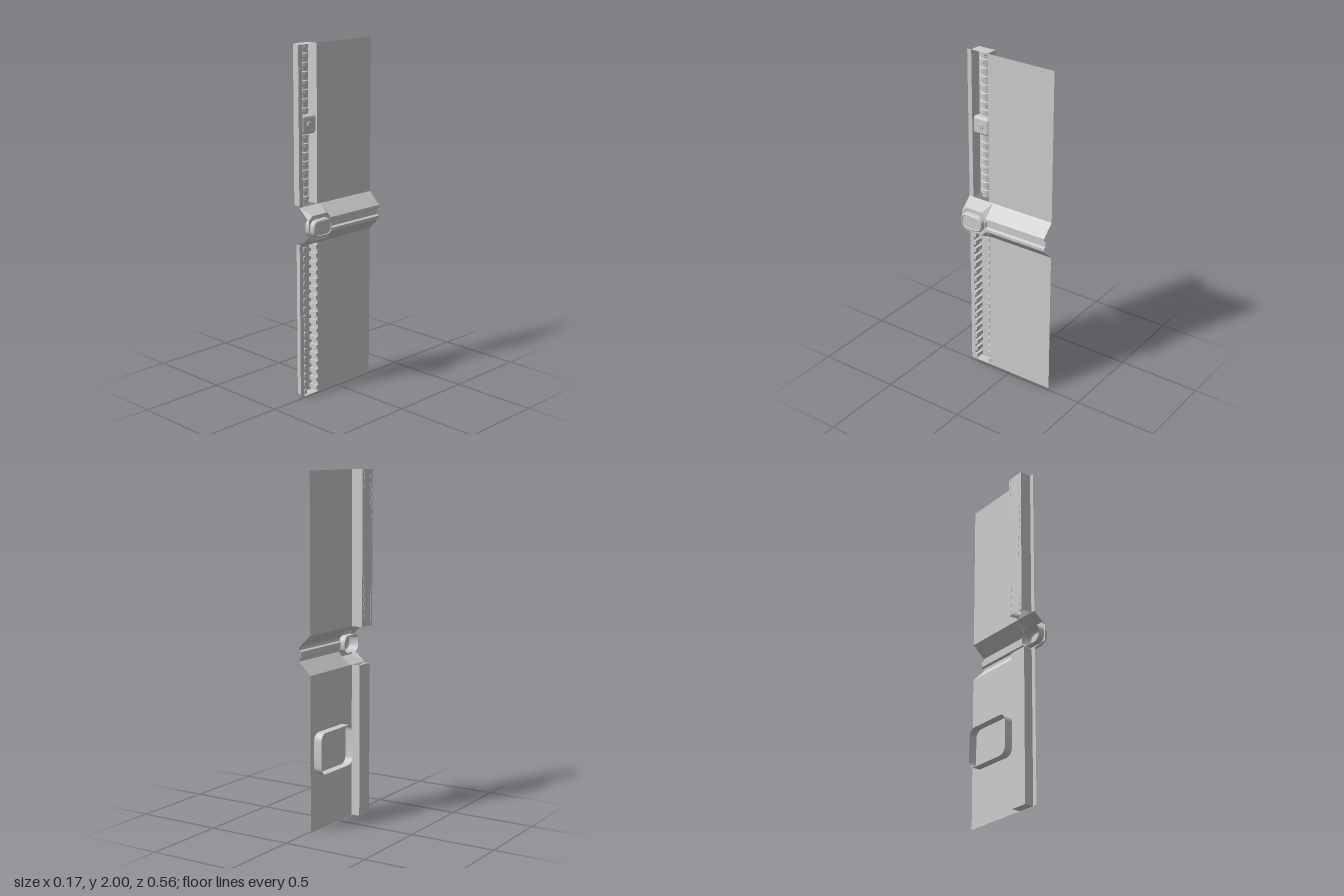
import * as THREE from 'three';
import { toCreasedNormals } from 'three/addons/utils/BufferGeometryUtils.js';
import { RoundedBoxGeometry } from 'three/addons/geometries/RoundedBoxGeometry.js';

const material = new THREE.MeshStandardMaterial({ color: 0xcccccc, side: THREE.DoubleSide });
const FACE = -0.016;            // x of the wall face
const ZC = 0.2;                 // z of the channel centre line
const Z0 = -0.282, Z1 = 0.282;  // ends of the wall
const STEP = 0.117;             // z where the ledge turns into the knob mount
const LOW = 0.89, HIGH = 1.112, MID = 1.002;
const FRONT = 0.057;            // x of the ledge front

function add(parent, name, geometry, x = 0, y = 0, z = 0) {
  const mesh = new THREE.Mesh(geometry, material);
  mesh.name = name;
  mesh.position.set(x, y, z);
  parent.add(mesh);
  return mesh;
}

// Skin over a list of cross-sections, each a list of [x, y, z]
function loft(sections, crease = 0.6) {
  const n = sections[0].length, index = [];
  for (let s = 0; s < sections.length - 1; s++)
    for (let i = 0; i < n - 1; i++) {
      const a = s * n + i, b = a + 1, c = a + n, d = c + 1;
      index.push(a, c, b, b, c, d);
    }
  const g = new THREE.BufferGeometry();
  g.setAttribute('position', new THREE.Float32BufferAttribute(sections.flat(2), 3));
  g.setIndex(index);
  return toCreasedNormals(g, crease);
}

// Rounded rectangle in the z-y plane as a closed list of [z, y]
function roundedLoop(zc, yc, w, h, r, steps = 6) {
  const pts = [];
  [[1, 1], [-1, 1], [-1, -1], [1, -1]].forEach(([sz, sy], q) => {
    for (let i = 0; i <= steps; i++) {
      const t = (q + i / steps) * Math.PI / 2;
      pts.push([zc + sz * (w / 2 - r) + r * Math.cos(t), yc + sy * (h / 2 - r) + r * Math.sin(t)]);
    }
  });
  pts.push(pts[0]);
  return pts;
}
const atX = (loop, x) => loop.map(([z, y]) => [x, y, z]);

// Flat plate facing +x, from a z-y outline and an optional hole
function plate(outline, hole) {
  const shape = new THREE.Shape(outline.map(([z, y]) => new THREE.Vector2(-z, y)));
  if (hole) shape.holes.push(new THREE.Path(hole.map(([z, y]) => new THREE.Vector2(-z, y))));
  return new THREE.ShapeGeometry(shape).rotateY(Math.PI / 2);
}

// Wall panel with a channel sunk behind its face, closed at its outer end
function wallPanel(parent, name, y0, y1, back, capY) {
  const profile = [[FACE, Z0], [FACE, 0.145], [back, 0.145], [back, 0.255], [FACE, 0.255], [FACE, Z1]];
  add(parent, name, loft([y0, y1].map(y => profile.map(([x, z]) => [x, y, z]))));
  const cap = new THREE.PlaneGeometry(FACE - back, 0.11).rotateX(-Math.PI / 2);
  add(parent, name + 'ChannelCap', cap, (FACE + back) / 2, capY, ZC);
}

export function createModel() {
  const model = new THREE.Group();
  model.name = 'wallModule';

  wallPanel(model, 'lowerPanel', 0, LOW, -0.069, 0);
  wallPanel(model, 'upperPanel', HIGH, 2, -0.084, 2);

  // Ribs down both side walls of the lower channel
  const ribs = new THREE.Group();
  ribs.name = 'channelRibs';
  model.add(ribs);
  const ribCount = 18, ribPitch = LOW / ribCount;
  const ribGeometry = new THREE.BoxGeometry(0.057, ribPitch * 0.5, 0.016);
  for (let i = 0; i < ribCount; i++)
    for (const side of [-1, 1])
      add(ribs, 'rib', ribGeometry, -0.0405, (i + 0.5) * ribPitch, ZC + side * 0.047);

  // Corrugated half hose lying on the back of the upper channel
  const rings = [], hosePitch = 0.0493;
  for (let i = 0; i < 18; i++)
    for (const [f, r] of [[0, 0.033], [0.4, 0.033], [0.48, 0.039], [0.92, 0.039], [1, 0.033]]) {
      const ring = [];
      for (let k = 0; k <= 12; k++) {
        const t = (k / 12 - 0.5) * Math.PI;
        ring.push([-0.085 + r * 1.1 * Math.cos(t), HIGH + (i + f) * hosePitch, ZC + r * Math.sin(t)]);
      }
      rings.push(ring);
    }
  add(model, 'corrugatedHose', loft(rings));

  // Clip holding the hose, with a cross-slotted screw
  const clip = new THREE.Group();
  clip.name = 'hoseClip';
  clip.position.set(0, 1.563, ZC);
  model.add(clip);
  add(clip, 'clipBody', new RoundedBoxGeometry(0.05, 0.105, 0.106, 3, 0.016), -0.042);
  add(clip, 'screwHead', new THREE.CylinderGeometry(0.017, 0.02, 0.008, 20).rotateZ(-Math.PI / 2), -0.016);
  for (const turn of [0, Math.PI / 2])
    add(clip, 'screwCross', new THREE.BoxGeometry(0.002, 0.006, 0.022), -0.012).rotation.x = turn;

  // Hollow ledge with a grooved front
  const ledge = [[FACE, HIGH], [FRONT, 1.042], [FRONT, 1.025], [0.043, 1.018],
    [0.043, 0.986], [FRONT, 0.979], [FRONT, 0.962], [FACE, LOW]];
  add(model, 'ledge', loft([Z0, STEP].map(z => ledge.map(([x, y]) => [x, y, z])), 0.2));

  // Knob mount: sloped top and bottom, and an octagonal front plate around the knob
  const mount = new THREE.Group();
  mount.name = 'knobMount';
  model.add(mount);
  const half = 0.072, cut = 0.026;
  for (const s of [1, -1]) {
    const baseY = s > 0 ? HIGH : LOW;
    const base = [STEP, STEP, Z1, Z1].map(z => [FACE, baseY, z]);
    const edge = [[STEP, half - cut], [STEP + cut, half], [Z1 - cut, half], [Z1, half - cut]]
      .map(([z, y]) => [FRONT, MID + s * y, z]);
    const rows = [base, edge];
    if (s > 0) rows.forEach(row => row.reverse());
    add(mount, s > 0 ? 'mountTop' : 'mountBottom', loft(rows, 0.1));
  }
  const octagon = [[STEP, -half + cut], [STEP + cut, -half], [Z1 - cut, -half], [Z1, -half + cut],
    [Z1, half - cut], [Z1 - cut, half], [STEP + cut, half], [STEP, half - cut]]
    .map(([z, y]) => [z, MID + y]);
  const outer = roundedLoop(0.199, MID, 0.148, 0.1, 0.04);
  add(mount, 'mountPlate', plate(octagon, outer.slice(0, -1)), FRONT);

  // Knob: cup open at the back, with a rounded rim and a sunk face
  const inset = d => roundedLoop(0.199, MID, 0.148 - 2 * d, 0.1 - 2 * d, 0.04 - d);
  const steps = [[0.02, 0], [0.072, 0], [0.078, 0.002], [0.082, 0.005], [0.084, 0.01], [0.08, 0.013]];
  const knob = new THREE.Group();
  knob.name = 'knob';
  model.add(knob);
  add(knob, 'knobCup', loft(steps.map(([x, d]) => atX(inset(d), x)), 0.7));
  add(knob, 'knobFace', plate(inset(0.013).slice(0, -1)), 0.08);

  // Open collar on the back of the lower panel
  const collar = roundedLoop(-0.0845, 0.445, 0.325, 0.235, 0.045);
  add(model, 'backCollar', loft([atX(collar, -0.064), atX(collar, FACE)]));

  return model;
}
